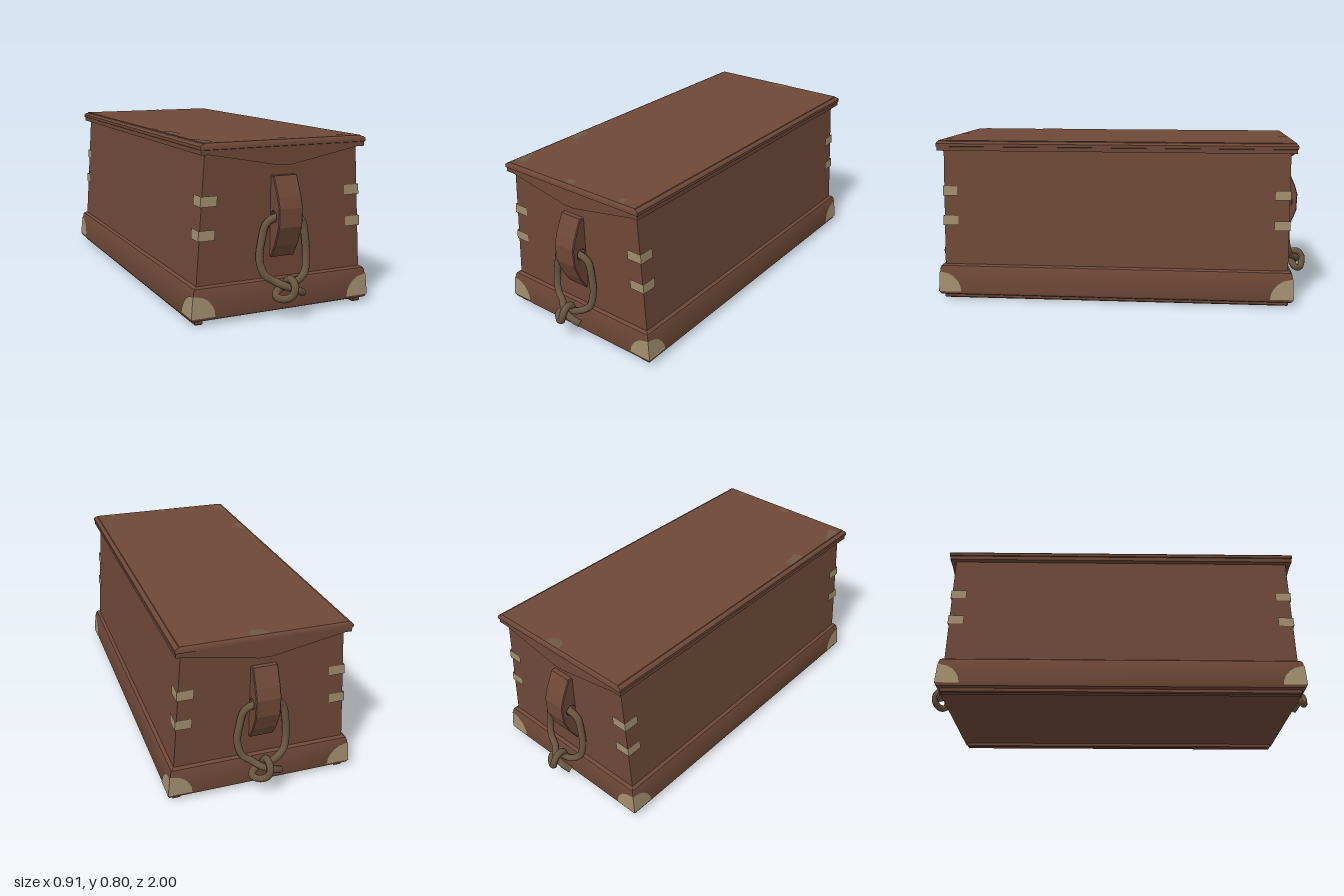
import * as THREE from 'three';
import { toCreasedNormals } from 'three/addons/utils/BufferGeometryUtils.js';

const mat = (name, color, side = THREE.FrontSide) => {
  const m = new THREE.MeshStandardMaterial({ color, side });
  m.name = name;
  return m;
};

// Rectangular loft through rings [y, halfX, halfZ], closed at both ends
function loft(rings) {
  const pos = [], idx = [];
  for (const [y, hx, hz] of rings) pos.push(-hx, y, hz, hx, y, hz, hx, y, -hz, -hx, y, -hz);
  for (let r = 0; r < rings.length - 1; r++) {
    for (let i = 0; i < 4; i++) {
      const a = r * 4 + i, b = r * 4 + (i + 1) % 4;
      idx.push(a, b, b + 4, a, b + 4, a + 4);
    }
  }
  const t = (rings.length - 1) * 4;
  idx.push(0, 3, 2, 0, 2, 1, t, t + 1, t + 2, t, t + 2, t + 3);
  const g = new THREE.BufferGeometry();
  g.setAttribute('position', new THREE.Float32BufferAttribute(pos, 3));
  g.setIndex(idx);
  return toCreasedNormals(g, 0.5);
}

// Metal plate folded round a corner; outline is [distance from corner, y]
function cornerPlate(outline, hx, hz, sx, sz) {
  const pos = [];
  for (const onEnd of [true, false]) {
    const p = outline.map(([d, y]) => [sx * (hx(y) - (onEnd ? d : 0)), y, sz * (hz(y) - (onEnd ? 0 : d))]);
    for (let i = 1; i < p.length - 1; i++) {
      const flip = (sx * sz > 0) === onEnd;
      pos.push(...p[0], ...(flip ? p[i + 1] : p[i]), ...(flip ? p[i] : p[i + 1]));
    }
  }
  const g = new THREE.BufferGeometry();
  g.setAttribute('position', new THREE.Float32BufferAttribute(pos, 3));
  g.computeVertexNormals();
  return g;
}

const shapeOf = (pts) => new THREE.Shape(pts.map(([x, y]) => new THREE.Vector2(x, y)));

export function createModel() {
  const wood = mat('brown wood', 0x6e4837);
  const metal = mat('tan metal', 0xa28d6e, THREE.DoubleSide);
  const ropeMat = mat('rope', 0x69553f);
  const worn = mat('worn wood', 0x6e5844);

  const model = new THREE.Group();
  model.name = 'chest';
  const add = (name, geo, material, parent = model) => {
    const m = new THREE.Mesh(geo, material);
    m.name = name;
    parent.add(m);
    return m;
  };

  // Tapered body, skirting base and lid
  add('body', loft([[0.1, 0.425, 0.86], [0.755, 0.38, 0.86]]), wood);
  add('base', loft([
    [0.02, 0.44, 0.872], [0.025, 0.449, 0.882], [0.037, 0.453, 0.886],
    [0.155, 0.441, 0.881], [0.168, 0.436, 0.877], [0.175, 0.425, 0.866],
  ]), wood);
  add('lid', loft([
    [0.75, 0.408, 0.887], [0.77, 0.408, 0.887], [0.772, 0.412, 0.891],
    [0.786, 0.412, 0.891], [0.794, 0.404, 0.887], [0.796, 0.393, 0.885], [0.8, 0.391, 0.883],
  ]), wood);

  // Runners under the base
  for (const s of [-1, 1]) {
    const r = add('runner', loft([[0, 0.015, 0.86], [0.005, 0.019, 0.865], [0.03, 0.019, 0.865]]), wood);
    r.position.x = s * 0.41;
  }

  // Corner straps and base corner plates
  const bodyX = (y) => 0.426 - (y - 0.1) * 0.0687;
  const baseX = (y) => 0.456 - (y - 0.037) * 0.1017;
  const baseZ = (y) => 0.889 - (y - 0.037) * 0.0424;
  const strap = (y) => [[0, y], [0.078, y], [0.078, y + 0.047], [0, y + 0.047]];
  const cornerOutline = [[0, 0.038], [0.115, 0.038], [0.11, 0.065], [0.096, 0.09],
    [0.073, 0.114], [0.045, 0.13], [0, 0.14]];
  for (const sx of [-1, 1]) {
    for (const sz of [-1, 1]) {
      for (const y of [0.374, 0.523]) {
        add('cornerStrap', cornerPlate(strap(y), (v) => bodyX(v) + 0.006, () => 0.865, sx, sz), metal);
      }
      add('baseCornerPlate', cornerPlate(cornerOutline, baseX, baseZ, sx, sz), metal);
    }
  }

  // Worn patches on the lid
  const patches = [
    [[-0.02, -0.882], [0.075, -0.882], [0.07, -0.845], [0.045, -0.83], [0.01, -0.835]],
    [[-0.39, 0.385], [-0.345, 0.4], [-0.35, 0.45], [-0.33, 0.49], [-0.39, 0.5]],
    [[-0.39, 0.72], [-0.36, 0.77], [-0.33, 0.84], [-0.39, 0.845]],
    [[-0.39, 0.23], [-0.375, 0.24], [-0.375, 0.3], [-0.39, 0.31]],
    [[-0.03, 0.84], [0.015, 0.84], [0.015, 0.87], [-0.03, 0.87]],
    [[0.285, 0.84], [0.315, 0.84], [0.315, 0.87], [0.285, 0.87]],
  ];
  for (const p of patches) {
    const g = new THREE.ShapeGeometry(shapeOf(p.map(([x, z]) => [x, -z]))).rotateX(-Math.PI / 2);
    add('wornPatch', g.translate(0, 0.8012, 0), worn);
  }

  // Both ends carry a lid gable, a handle bracket and a knotted rope
  const gable = shapeOf([[-0.385, 0.752], [-0.03, 0.686], [0.03, 0.686], [0.385, 0.752]]);
  const bracket = shapeOf([[0.85, 0.27], [0.868, 0.27], [0.905, 0.33], [0.938, 0.415],
    [0.94, 0.5], [0.925, 0.55], [0.883, 0.64], [0.85, 0.64]]);
  const hole = new THREE.Path();
  hole.absarc(0.888, 0.46, 0.024, 0, Math.PI * 2, true);
  bracket.holes.push(hole);
  const ropePath = new THREE.CatmullRomCurve3([
    // free end, across the knot and up one side
    [0.07, 0.108, 0.94], [0.03, 0.13, 0.955], [-0.02, 0.15, 0.95], [-0.065, 0.172, 0.915],
    [-0.105, 0.2, 0.9], [-0.124, 0.265, 0.884], [-0.112, 0.36, 0.88], [-0.093, 0.425, 0.88],
    [-0.06, 0.452, 0.887], [0, 0.46, 0.888], [0.06, 0.452, 0.887], [0.093, 0.425, 0.88],
    [0.108, 0.36, 0.88], [0.115, 0.265, 0.884], [0.1, 0.195, 0.9],
    // down the other side and round the knot
    [0.055, 0.165, 0.92], [0.01, 0.145, 0.918], [-0.045, 0.135, 0.922], [-0.07, 0.11, 0.94],
    [-0.045, 0.1, 0.965], [-0.01, 0.115, 0.981], [0.003, 0.15, 0.983], [0.003, 0.178, 0.96],
    [0, 0.176, 0.925], [-0.005, 0.14, 0.907],
  ].map((p) => new THREE.Vector3(...p)));
  const radius = 0.0175;

  for (const [label, angle] of [['front', 0], ['back', Math.PI]]) {
    const end = new THREE.Group();
    end.name = label + 'End';
    end.rotation.y = angle;
    model.add(end);
    add('lidGable', new THREE.ExtrudeGeometry(gable, { depth: 0.03, bevelEnabled: false })
      .translate(0, 0, 0.855), wood, end);
    const b = new THREE.ExtrudeGeometry(bracket, {
      depth: 0.112, bevelThickness: 0.004, bevelSize: 0.004, bevelOffset: -0.004,
      bevelSegments: 1, curveSegments: 8,
    });
    add('handleBracket', b.translate(0, 0, -0.056).rotateY(-Math.PI / 2).scale(1, 1, 1), wood, end);
    add('ropeHandle', new THREE.TubeGeometry(ropePath, 120, radius, 8), ropeMat, end);
    const cap = add('ropeEnd', new THREE.CircleGeometry(radius, 8), ropeMat, end);
    cap.position.copy(ropePath.getPointAt(0));
    cap.quaternion.setFromUnitVectors(new THREE.Vector3(0, 0, 1), ropePath.getTangentAt(0).negate());
  }
  return model;
}
